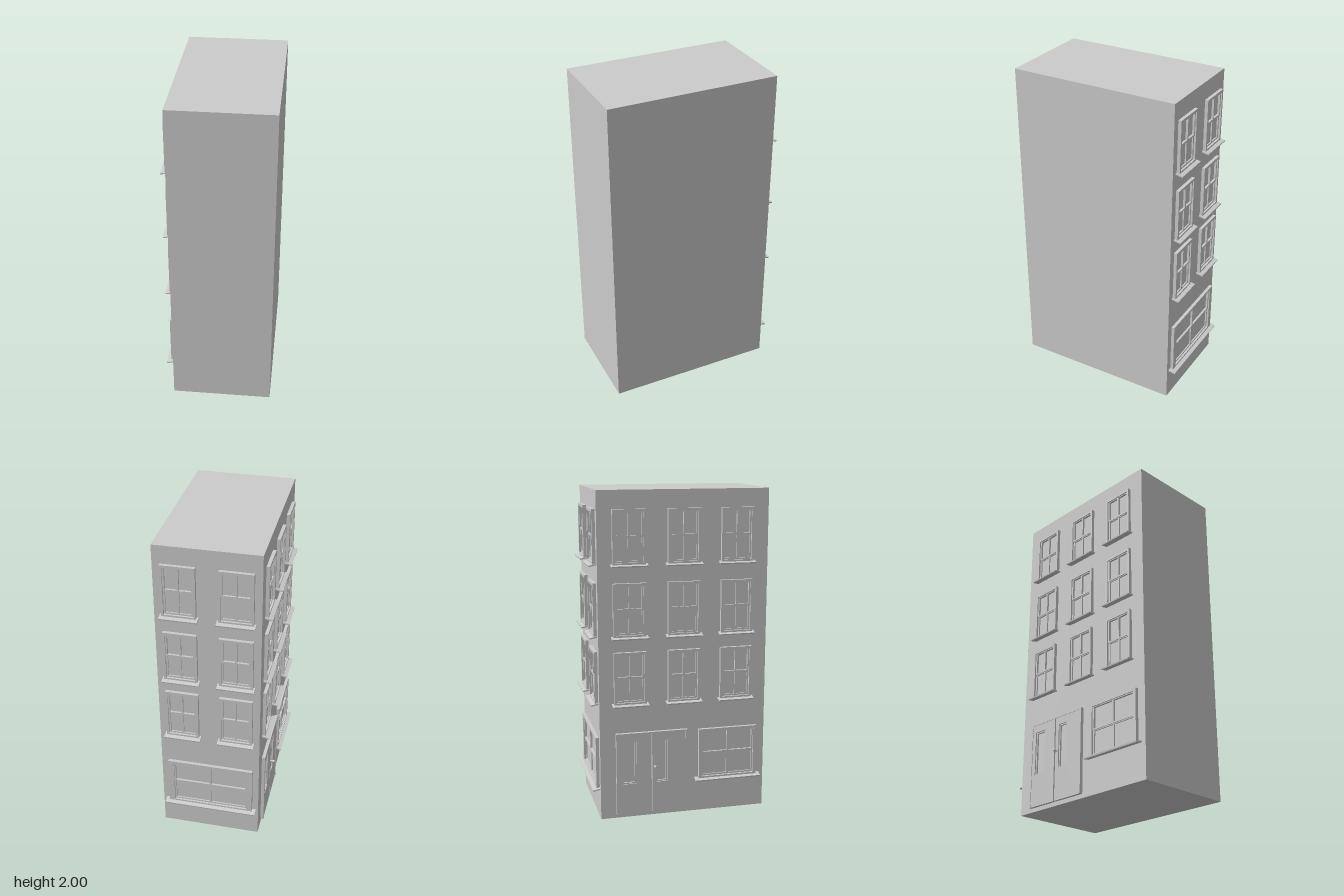
import * as THREE from 'three';

const material = new THREE.MeshStandardMaterial({ color: 0xcccccc, flatShading: true });
const smooth = new THREE.MeshStandardMaterial({ color: 0xcccccc });

function add(parent, geometry, name, x = 0, y = 0, z = 0, mat = material) {
  const mesh = new THREE.Mesh(geometry, mat);
  mesh.name = name;
  mesh.position.set(x, y, z);
  parent.add(mesh);
  return mesh;
}

function rect(target, x0, y0, x1, y1) {
  target.moveTo(x0, y0);
  target.lineTo(x1, y0);
  target.lineTo(x1, y1);
  target.lineTo(x0, y1);
  target.closePath();
  return target;
}

// Slab with rectangular openings, each given as [x0, y0, x1, y1]
function pierced(outer, holes, depth) {
  const shape = rect(new THREE.Shape(), ...outer);
  holes.forEach((h) => shape.holes.push(rect(new THREE.Path(), ...h)));
  return new THREE.ExtrudeGeometry(shape, { depth, bevelEnabled: false });
}

// Four-pane window; facade space has x along the wall, y up, z outward
function addWindow(facade, x0, x1, y0, y1, overhang, casing) {
  const g = new THREE.Group();
  g.name = 'window';
  facade.add(g);
  const xm = (x0 + x1) / 2, ym = (y0 + y1) / 2, bar = 0.005, sash = 0.01;
  const a = x0 + casing, b = x1 - casing, c = y0 + 0.012, d = y1 - 0.016;
  add(g, pierced([x0, y0, x1, y1], [[a, c, b, d]], 0.02), 'windowCasing');

  // Upper sash sits slightly proud of the lower one
  [[c, ym, 0.008], [ym, d, 0.013]].forEach(([s, t, depth]) => {
    const panes = [[a + sash, xm - bar], [xm + bar, b - sash]]
      .map(([l, r]) => [l, s + sash, r, t - sash / 2]);
    add(g, pierced([a, s, b, t], panes, depth), 'windowSash');
  });

  // Sill tilted outward to shed water
  const sill = add(g, new THREE.BoxGeometry(x1 - x0 + 2 * overhang, 0.008, 0.047),
    'windowSill', xm, y0 - 0.003, 0.0215);
  sill.rotation.x = 0.2;
}

// Door leaf with one tall glazed opening
function addLeaf(facade, x0, x1, glass0, glass1) {
  const g = new THREE.Group();
  g.name = 'doorLeaf';
  facade.add(g);
  add(g, pierced([x0, 0.025, x1, 0.535], [[glass0, 0.22, glass1, 0.49]], 0.017), 'doorPanel');
  add(g, pierced([glass0, 0.22, glass1, 0.49],
    [[glass0 + 0.008, 0.228, glass1 - 0.008, 0.482]], 0.01), 'doorGlassTrim');
}

export function createModel() {
  const model = new THREE.Group();
  model.name = 'cornerBuilding';
  add(model, new THREE.BoxGeometry(0.615, 2, 1.04), 'buildingBody', 0.0225, 1, 0.02);

  const back = new THREE.Group();
  back.name = 'backFacade';
  back.position.z = -0.5;
  back.rotation.y = Math.PI;
  const side = new THREE.Group();
  side.name = 'sideFacade';
  side.position.x = -0.285;
  side.rotation.y = -Math.PI / 2;
  model.add(back, side);

  // Upper floors
  for (const y of [0.727, 1.14, 1.57]) {
    for (const x of [-0.285, 0.042]) addWindow(back, x, x + 0.2, y, y + 0.321, 0.011, 0.014);
    for (const z of [-0.411, -0.08, 0.247]) addWindow(side, z, z + 0.198, y, y + 0.321, 0.012, 0.014);
  }

  // Shop windows
  addWindow(back, -0.287, 0.247, 0.19, 0.513, 0.024, 0.035);
  addWindow(side, 0.115, 0.487, 0.217, 0.537, 0.024, 0.02);

  // Entrance
  addLeaf(side, -0.392, -0.191, -0.365, -0.28);
  addLeaf(side, -0.181, 0.03, -0.155, -0.085);
  add(side, new THREE.BoxGeometry(0.012, 0.52, 0.02), 'doorPost', -0.398, 0.285, 0.01);
  add(side, new THREE.BoxGeometry(0.012, 0.52, 0.02), 'doorPost', 0.036, 0.285, 0.01);
  add(side, new THREE.BoxGeometry(0.446, 0.01, 0.02), 'doorHead', -0.181, 0.54, 0.01);

  // Door knob
  const stem = add(side, new THREE.CylinderGeometry(0.004, 0.004, 0.022, 12), 'knobStem',
    -0.165, 0.325, 0.027, smooth);
  stem.rotation.x = Math.PI / 2;
  add(side, new THREE.SphereGeometry(0.009, 16, 12), 'doorKnob', -0.165, 0.325, 0.038, smooth);

  return model;
}
